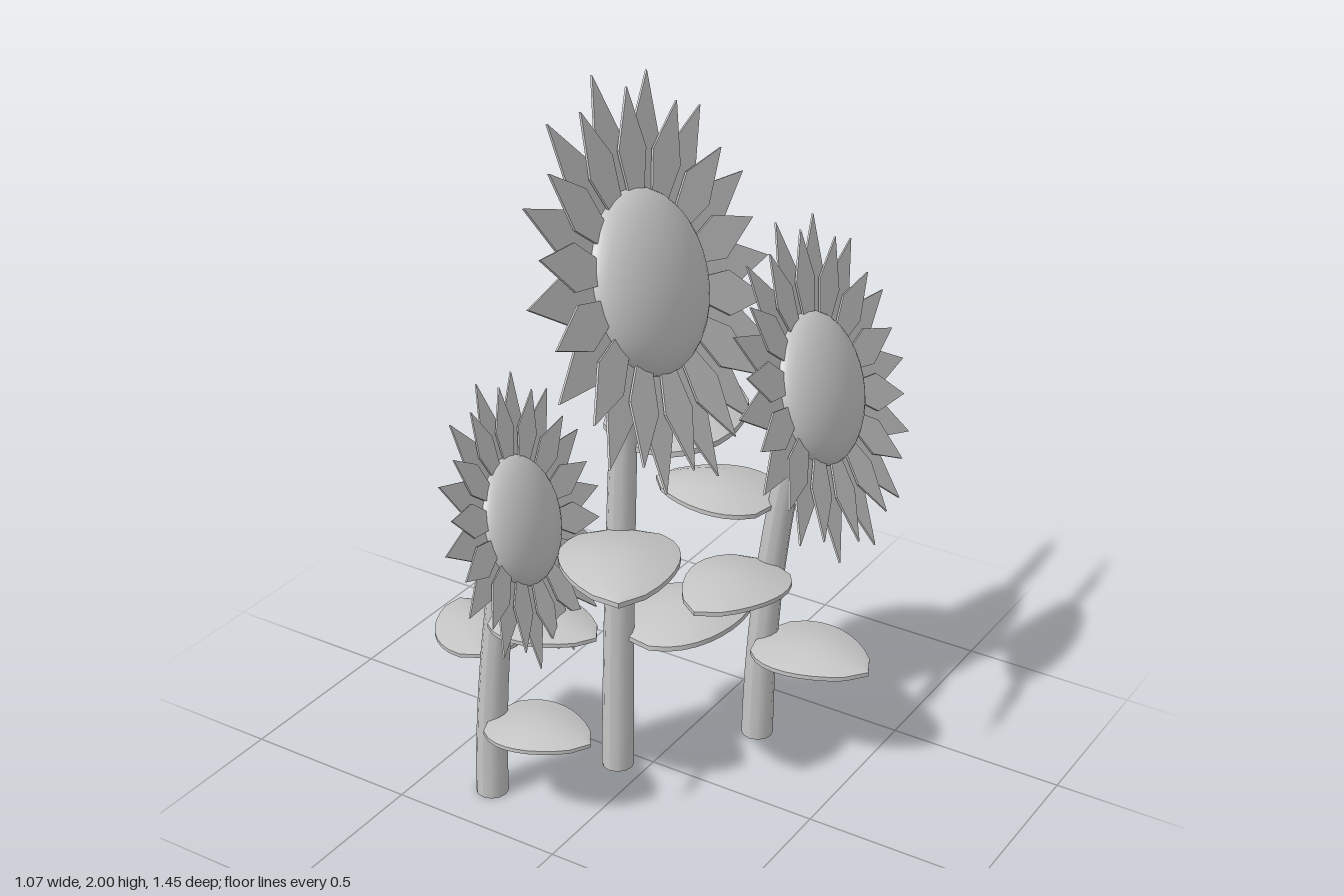
import * as THREE from 'three';

const grey = new THREE.MeshStandardMaterial({ color: 0xc4c4c4, side: THREE.DoubleSide });
grey.name = 'plain grey';

function add(parent, name, geometry) {
  const mesh = new THREE.Mesh(geometry, grey);
  mesh.name = name;
  parent.add(mesh);
  return mesh;
}

// Tapered stem: a cylinder whose rings are shifted along a gentle bend
function stemGeometry(bottom, top, power) {
  const geo = new THREE.CylinderGeometry(0.034, 0.045, 1, 12, 10);
  const pos = geo.attributes.position;
  for (let i = 0; i < pos.count; i++) {
    const t = pos.getY(i) + 0.5;
    const shift = (top[0] - bottom[0]) * Math.pow(t, power);
    pos.setXYZ(i, pos.getX(i) + bottom[0] + shift, t * top[1], pos.getZ(i) + bottom[2]);
  }
  geo.computeVertexNormals();
  return geo;
}

// Pointed flat petal running along +x from the inner radius, lifted towards +y
function petalGeometry(inner, outer, halfWidth, y, lift) {
  const length = outer - inner;
  const shape = new THREE.Shape([
    [0, -0.4], [0.48, -1], [1, 0], [0.48, 1], [0, 0.4],
  ].map(([f, w]) => new THREE.Vector2(f * length, w * halfWidth)));
  const geo = new THREE.ExtrudeGeometry(shape, { depth: 0.006, bevelEnabled: false });
  return geo.rotateX(-Math.PI / 2).rotateZ(lift).translate(inner, y, 0);
}

// Broad, thin, arched leaf running along +x from its stalk, widest near the base
function leafGeometry(length) {
  const geo = new THREE.BoxGeometry(1, 0.035, 1, 10, 1, 4);
  const pos = geo.attributes.position;
  for (let i = 0; i < pos.count; i++) {
    const t = pos.getX(i) + 0.5;
    const s = pos.getZ(i) * 2;
    const width = 0.39 * Math.pow(Math.max(Math.sin(Math.PI * Math.pow(t, 0.75)), 0), 0.6);
    const arch = 0.1 * Math.sin(Math.PI * t) * (1 - 0.85 * s * s) + 0.03 * t;
    pos.setXYZ(i, t * length, (arch + pos.getY(i)) * length, s * width * length);
  }
  geo.computeVertexNormals();
  return geo;
}

// Flower head facing local +y: dome, cone-shaped back and two petal rings
function flowerHead(scale) {
  const head = new THREE.Group();
  head.name = 'flowerHead';
  const dome = new THREE.SphereGeometry(0.24, 28, 10, 0, Math.PI * 2, 0, Math.PI / 2);
  add(head, 'seedDome', dome.scale(1, 0.42, 1));
  const back = new THREE.LatheGeometry([
    new THREE.Vector2(0.001, -0.115), new THREE.Vector2(0.05, -0.105),
    new THREE.Vector2(0.22, -0.025), new THREE.Vector2(0.24, 0),
  ], 24);
  add(head, 'headBack', back);
  const rings = [
    { name: 'longPetal', geo: petalGeometry(0.2, 0.535, 0.062, 0, 0.08), offset: 0 },
    { name: 'shortPetal', geo: petalGeometry(0.19, 0.485, 0.06, 0.01, 0.1), offset: 0.5 },
  ];
  for (const ring of rings) {
    for (let i = 0; i < 14; i++) {
      add(head, ring.name, ring.geo).rotation.y = (i + ring.offset) * Math.PI * 2 / 14;
    }
  }
  head.scale.setScalar(scale);
  return head;
}

// Each leaf: start x, height, tip x, tip z
const FLOWERS = [
  {
    name: 'tallFlower', base: [-0.082, 0, 0.055], top: [-0.04, 1.46], power: 1.6,
    centre: [0.014, 1.484, 0.055], scale: 1, yaw: 0.035,
    leaves: [[-0.08, 0.425, 0.14, -0.29], [-0.07, 0.75, 0.15, 0.4], [-0.06, 1.0, 0.04, -0.38]],
  },
  {
    name: 'middleFlower', base: [0.168, 0, -0.288], top: [0.295, 1.11], power: 2,
    centre: [0.328, 1.133, -0.28], scale: 0.857, yaw: 0.08,
    leaves: [[0.17, 0.325, 0.53, -0.25], [0.19, 0.565, 0.17, 0.07], [0.22, 0.755, -0.13, -0.22]],
  },
  {
    name: 'shortFlower', base: [-0.305, 0, 0.345], top: [-0.22, 0.87], power: 1.8,
    centre: [-0.182, 0.887, 0.355], scale: 0.714, yaw: 0.15,
    leaves: [[-0.3, 0.245, 0.015, 0.335], [-0.29, 0.435, -0.53, 0.165], [-0.27, 0.59, 0.045, 0.345]],
  },
];

export function createModel() {
  const model = new THREE.Group();
  model.name = 'threeFlowers';
  for (const f of FLOWERS) {
    const flower = new THREE.Group();
    flower.name = f.name;
    model.add(flower);
    add(flower, 'stem', stemGeometry(f.base, f.top, f.power));

    const z = f.base[2];
    for (const [x, y, tipX, tipZ] of f.leaves) {
      const leaf = add(flower, 'leaf', leafGeometry(Math.hypot(tipX - x, tipZ - z)));
      leaf.position.set(x, y, z);
      leaf.rotation.y = Math.atan2(z - tipZ, tipX - x);
    }

    // Heads look towards +x and a little upward
    const head = flowerHead(f.scale);
    head.position.set(...f.centre);
    head.rotation.set(0, f.yaw, -THREE.MathUtils.degToRad(70), 'YXZ');
    flower.add(head);
  }
  return model;
}
